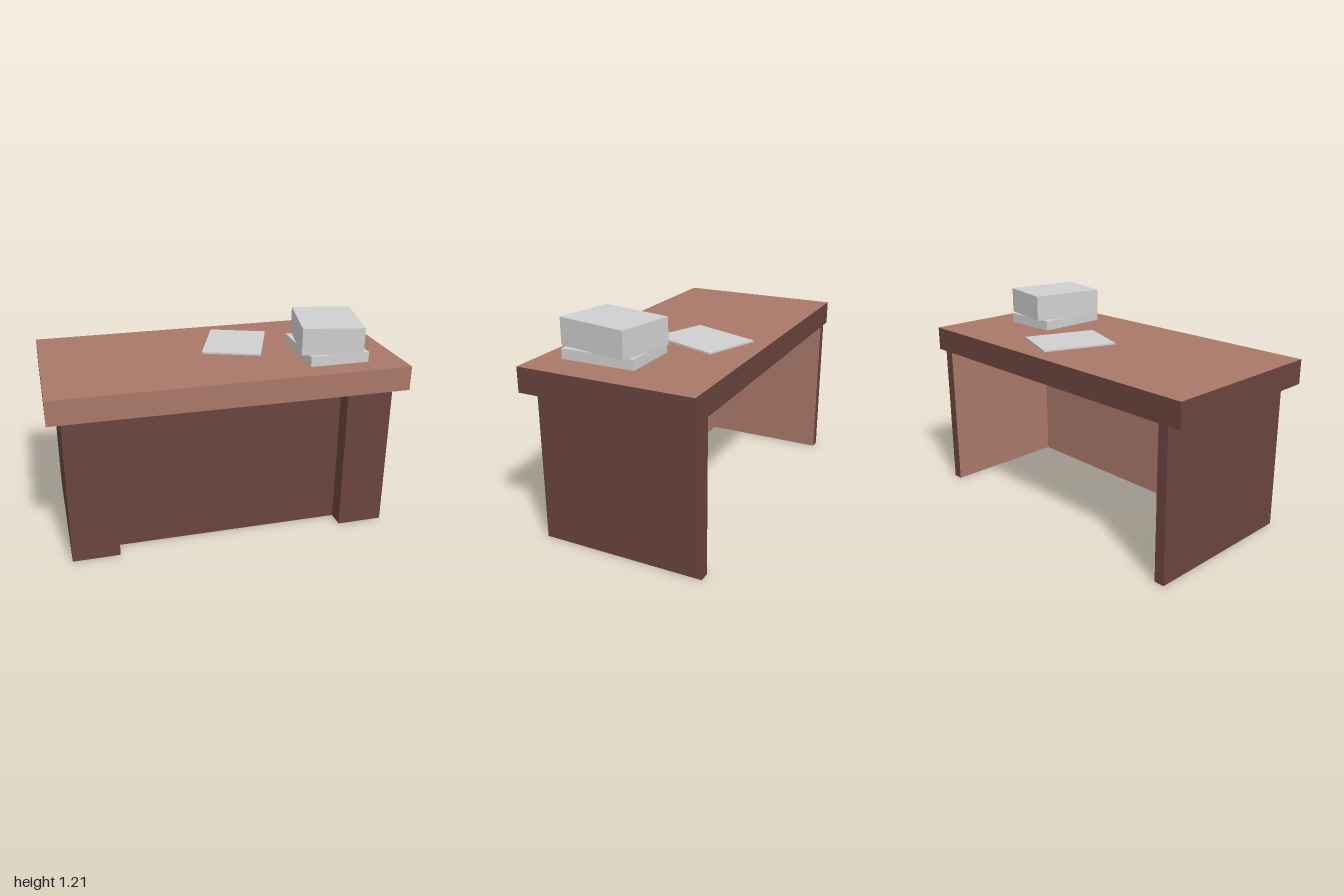
import * as THREE from 'three';

const lightWood = new THREE.MeshStandardMaterial({ color: 0xa97869 });
lightWood.name = 'light wood';
const darkWood = new THREE.MeshStandardMaterial({ color: 0x69443d });
darkWood.name = 'dark wood';
const paper = new THREE.MeshStandardMaterial({ color: 0xd0d0d0 });
paper.name = 'paper';
// the walls are open along the floor, so their insides can be seen
lightWood.side = darkWood.side = THREE.DoubleSide;

// Upright wall that follows a plan path of [x, z] points, facing right of travel
function wall(name, path, height, material) {
  const positions = [];
  for (let i = 0; i < path.length - 1; i++) {
    const [ax, az] = path[i];
    const [bx, bz] = path[i + 1];
    positions.push(ax, 0, az, bx, 0, bz, bx, height, bz);
    positions.push(ax, 0, az, bx, height, bz, ax, height, az);
  }
  const geometry = new THREE.BufferGeometry();
  geometry.setAttribute('position', new THREE.Float32BufferAttribute(positions, 3));
  geometry.computeVertexNormals();
  const mesh = new THREE.Mesh(geometry, material);
  mesh.name = name;
  return mesh;
}

// Box resting at height y
function slab(name, [w, h, d], [x, y, z], turn, material) {
  const mesh = new THREE.Mesh(new THREE.BoxGeometry(w, h, d), material);
  mesh.name = name;
  mesh.position.set(x, y + h / 2, z);
  mesh.rotation.y = turn;
  return mesh;
}

export function createModel() {
  const model = new THREE.Group();
  model.name = 'desk';

  // Desktop: light top, underside and front edge, dark other edges
  const topSides = [darkWood, darkWood, lightWood, lightWood, lightWood, darkWood];
  model.add(slab('desktop', [2, 0.14, 1], [0, 0.86, 0], 0, topSides));

  // Outer walls with a front pillar on each side and a recessed front panel
  const halfOutline = [[0.66, 0.34], [0.66, 0.44], [0.927, 0.44], [0.927, -0.5], [0.867, -0.5]];
  const mirrored = halfOutline.map(([x, z]) => [-x, z]).reverse();
  model.add(wall('outerWalls', [...mirrored, ...halfOutline], 0.86, darkWood));

  // Inner walls of the knee space, open at the back
  const inner = [[0.867, -0.5], [0.867, 0.26], [-0.867, 0.26], [-0.867, -0.5]];
  model.add(wall('innerWalls', inner, 0.86, lightWood));

  // Papers on the desktop
  model.add(slab('looseSheets', [0.342, 0.01, 0.435], [0.16, 1, -0.14], -0.365, paper));
  model.add(slab('lowerPaperStack', [0.343, 0.058, 0.433], [0.627, 1, 0.152], 0, paper));
  model.add(slab('upperPaperStack', [0.345, 0.152, 0.437], [0.626, 1.058, 0.152], -0.205, paper));

  return model;
}
